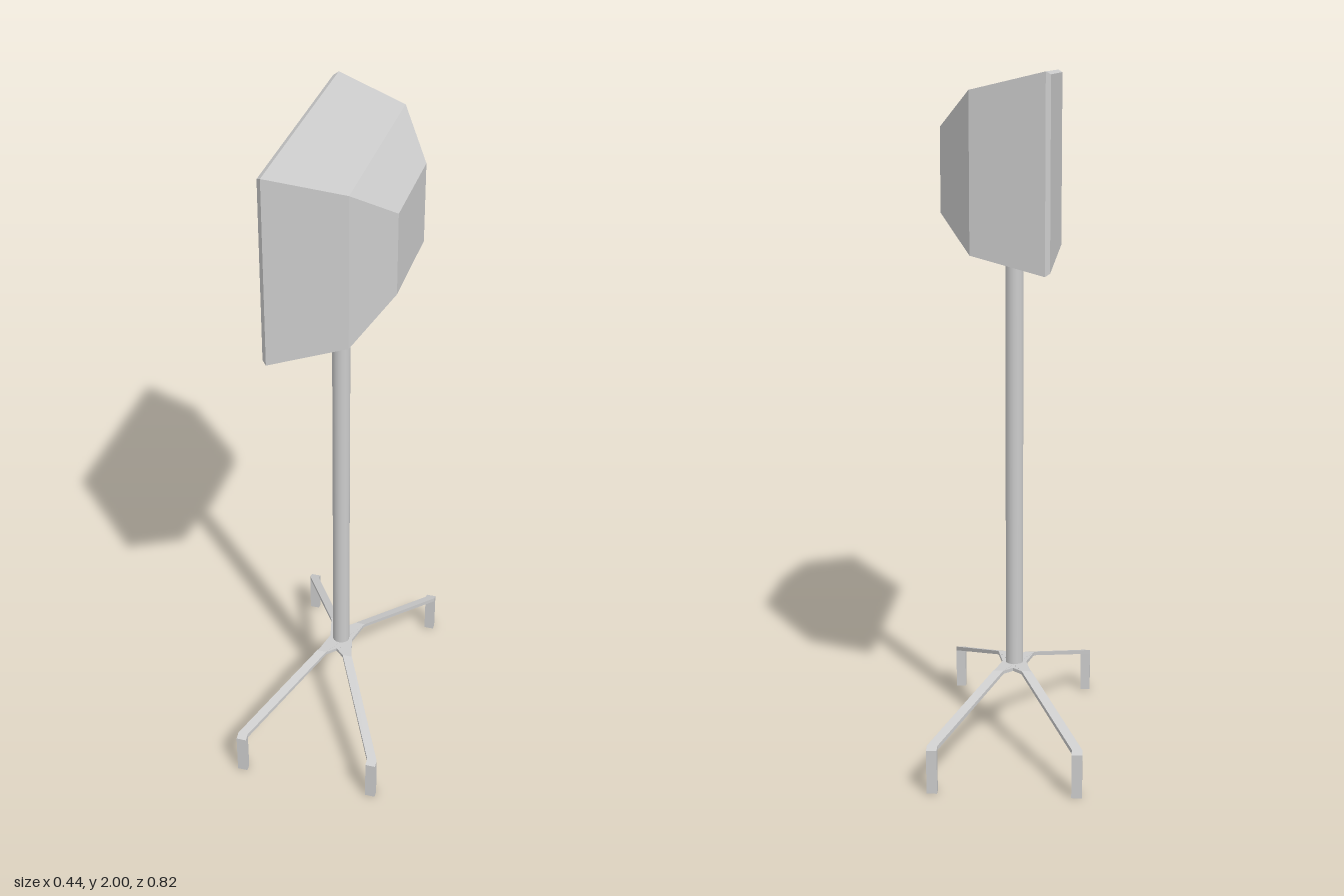
import * as THREE from 'three';
import { ConvexGeometry } from 'three/addons/geometries/ConvexGeometry.js';

const flat = new THREE.MeshStandardMaterial({ color: 0xcccccc, flatShading: true });
const smooth = new THREE.MeshStandardMaterial({ color: 0xcccccc });

function add(group, name, geometry, material = flat) {
  const mesh = new THREE.Mesh(geometry, material);
  mesh.name = name;
  group.add(mesh);
  return mesh;
}

// Bent leg: side profile extruded to the leg width, then sheared outwards in x
function legGeometry(side) {
  const profile = [[0, 0.234], [0.08, 0.234], [0.39, 0.124], [0.39, 0],
    [0.41, 0], [0.41, 0.13], [0.39, 0.137], [0.08, 0.245], [0, 0.245]];
  const shape = new THREE.Shape(profile.map(([x, y]) => new THREE.Vector2(x, y)));
  const geo = new THREE.ExtrudeGeometry(shape, { depth: 0.03, bevelEnabled: false });
  const pos = geo.attributes.position;
  for (let i = 0; i < pos.count; i++) {
    const out = pos.getX(i);
    const spread = side * Math.min(out, 0.39) * 0.526;
    pos.setXYZ(i, spread + pos.getZ(i) - 0.015, pos.getY(i), -out);
  }
  geo.computeVertexNormals();
  return geo;
}

export function createModel() {
  const model = new THREE.Group();
  model.name = 'standWithHead';

  // Head: rectangles stepping from the flat back panel to the small front face
  const sections = [ // x, half height, half width
    [-0.12, 0.259, 0.341], [-0.107, 0.2665, 0.3535], [0.1, 0.2185, 0.291], [0.193, 0.117, 0.154]];
  const points = [];
  for (const [x, h, w] of sections)
    for (const sy of [-1, 1])
      for (const sz of [-1, 1])
        points.push(new THREE.Vector3(x, 1.7335 + sy * h, -0.0045 + sz * w));
  add(model, 'head', new ConvexGeometry(points));

  // Pole
  const pole = add(model, 'pole', new THREE.CylinderGeometry(0.026, 0.026, 1.265, 16), smooth);
  pole.position.y = 0.24 + 1.265 / 2;

  // Hub plate joining the legs, slightly waisted between them
  const outline = [[0.055, 0.08], [0.027, 0.08], [0, 0.055], [-0.027, 0.08], [-0.055, 0.08], [-0.036, 0],
    [-0.055, -0.08], [-0.027, -0.08], [0, -0.055], [0.027, -0.08], [0.055, -0.08], [0.036, 0]];
  const plate = new THREE.Shape(outline.map(([x, y]) => new THREE.Vector2(x, y)));
  const hub = new THREE.ExtrudeGeometry(plate, { depth: 0.01, bevelEnabled: false });
  hub.rotateX(-Math.PI / 2);
  add(model, 'hub', hub).position.y = 0.2345;

  // Four legs: two mirrored shapes, each repeated half a turn round
  for (const side of [-1, 1])
    for (const turn of [0, Math.PI])
      add(model, 'leg', legGeometry(side)).rotation.y = turn;

  return model;
}
